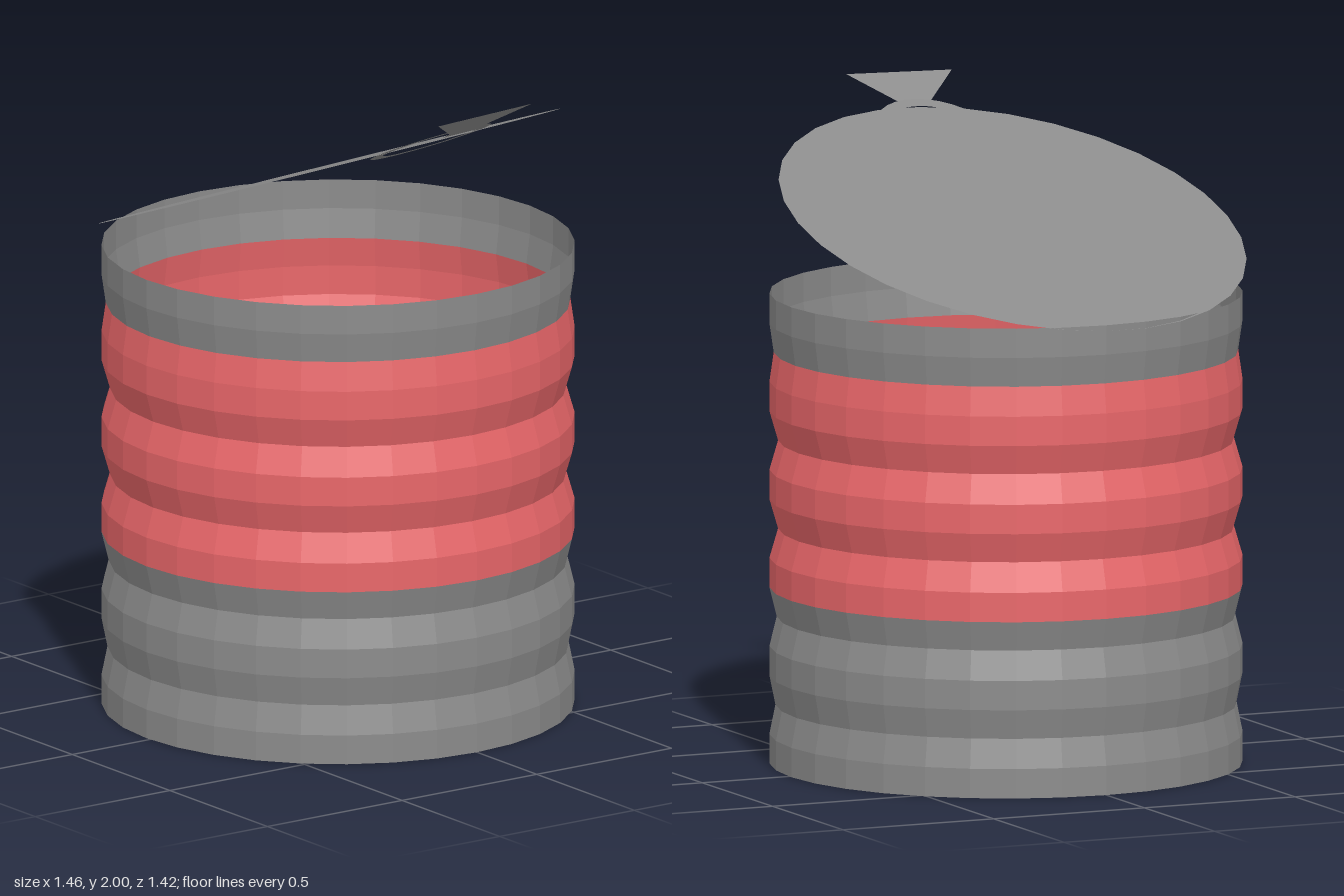
import * as THREE from 'three';

const STEP = 1.43 / 16;   // height of one wall ring
const R = 0.712;          // can radius
const SIDES = 32;
const CAN_X = -0.018;
const PINCH = { 2: 0.018, 5: 0.022, 8: 0.026, 11: 0.026, 14: 0.013 };  // depth of each groove

const material = (color) =>
  new THREE.MeshStandardMaterial({ color, flatShading: true, side: THREE.DoubleSide });

// Flat shape drawn in x and -z, then lifted so that each point sits at height(x, z)
function sheet(shape, height) {
  const geometry = new THREE.ShapeGeometry(shape, SIDES);
  const p = geometry.attributes.position;
  for (let i = 0; i < p.count; i++) {
    const x = p.getX(i), z = -p.getY(i);
    p.setXYZ(i, x, height(x, z), z);
  }
  geometry.computeVertexNormals();
  return geometry;
}

function ellipse(Type, cx, cz, rx, rz) {
  const points = [];
  for (let i = 0; i < SIDES; i++) {
    const a = (i / SIDES) * Math.PI * 2;
    points.push(new THREE.Vector2(cx + rx * Math.cos(a), -cz + rz * Math.sin(a)));
  }
  return new Type(points);
}

export function createModel() {
  const group = new THREE.Group();
  const metal = material(0x8b8b8b);
  const red = material(0xe86669);

  const add = (name, geometry, mat) => {
    const mesh = new THREE.Mesh(geometry, mat);
    mesh.name = name;
    group.add(mesh);
    return mesh;
  };

  // Corrugated wall: every third ring is pinched inward
  const wall = (name, from, to, mat) => {
    const profile = [];
    for (let k = from; k <= to; k++) {
      profile.push(new THREE.Vector2(R - (PINCH[k] ?? 0), k * STEP));
    }
    add(name, new THREE.LatheGeometry(profile, SIDES), mat).position.x = CAN_X;
  };
  wall('lowerWall', 0, 6, metal);
  wall('labelBand', 6, 14, red);
  wall('upperWall', 14, 16, metal);

  // Bottom disc
  const bottom = add('bottom', new THREE.CircleGeometry(R, SIDES), metal);
  bottom.rotation.x = Math.PI / 2;
  bottom.position.x = CAN_X;

  // Open lid, hinged at the -x rim and rolled slightly towards the front
  const lidHeight = (x, z) => 1.412 + 0.37 * (x + 0.73) - 0.05 * z;
  add('lid', sheet(ellipse(THREE.Shape, -0.065, 0, 0.665, R), lidHeight), metal);

  // Pull ring, steeper than the lid: its back dips below, its front lifts clear
  const ringHeight = (x, z) => 1.849 + 0.47 * (x - 0.45) - 0.05 * z;
  const ring = ellipse(THREE.Shape, 0.45, -0.005, 0.165, 0.19);
  ring.holes.push(ellipse(THREE.Path, 0.45, -0.005, 0.13, 0.15));
  add('pullRing', sheet(ring, ringHeight), metal);

  // Flared pull tab beyond the ring
  const tab = new THREE.Shape([
    [0.6, -0.06], [0.617, -0.047], [0.73, -0.17], [0.72, 0.185], [0.617, 0.063], [0.6, 0.075],
  ].map(([x, y]) => new THREE.Vector2(x, y)));
  add('pullTab', sheet(tab, (x, z) => 1.92 + 0.68 * (x - 0.617) - 0.05 * z), metal);

  return group;
}
